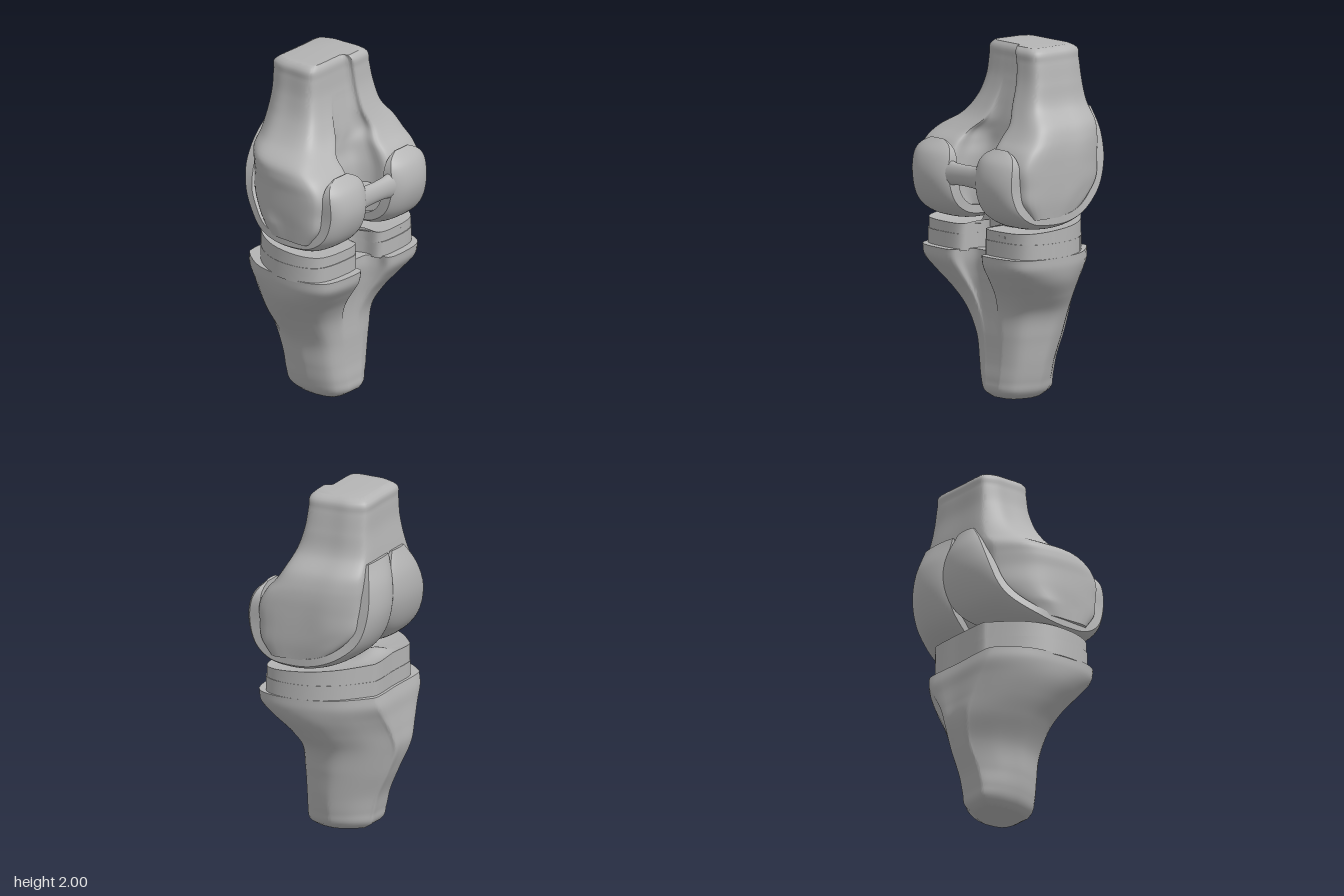
import * as THREE from 'three';
import { toCreasedNormals } from 'three/addons/utils/BufferGeometryUtils.js';

const RING = 96;

// Skin a stack of closed rings and close both ends
function loft(rings, crease = 0.7) {
  const n = rings[0].length, pos = [], idx = [];
  rings.forEach(r => r.forEach(p => pos.push(p.x, p.y, p.z)));
  for (let j = 0; j < rings.length - 1; j++) {
    for (let i = 0; i < n; i++) {
      const a = j * n + i, b = j * n + (i + 1) % n;
      idx.push(a, a + n, b, b, a + n, b + n);
    }
  }
  [0, rings.length - 1].forEach((j, end) => {
    const flat = rings[j].map(p => new THREE.Vector2(p.x, p.z));
    const ringSign = Math.sign(THREE.ShapeUtils.area(flat));
    for (const f of THREE.ShapeUtils.triangulateShape(flat, [])) {
      const s = Math.sign(THREE.ShapeUtils.area(f.map(k => flat[k])));
      const [a, b, c] = f.map(k => k + j * n);
      if ((s === ringSign) === (end === 0)) idx.push(a, b, c);
      else idx.push(a, c, b);
    }
  });
  const g = new THREE.BufferGeometry();
  g.setAttribute('position', new THREE.Float32BufferAttribute(pos, 3));
  g.setIndex(idx);
  return toCreasedNormals(g, crease);
}

// Smooth interpolation of rows [key, ...values]
function track(rows) {
  const size = rows[0].length - 1;
  const it = new THREE.CubicInterpolant(rows.map(r => r[0]), rows.flatMap(r => r.slice(1)), size);
  return t => Array.from(it.evaluate(t));
}

// Horizontal section: notched on +x, narrowing toward -x by a nose for each side,
// the +z lobe set back by skew, the +x corners rounded by r
function section(y, [x0, x1, z0, z1, n, nw, noseL, noseR, skew, r]) {
  const c = (z0 + z1) / 2, h = (z1 - z0) / 2, floor = x1 - Math.max(n, skew);
  const side = (nose, end) => {
    const w = end - x0, d = end - floor;
    return [
      [end - d * 0.96, nw * 0.6], [end - d * 0.6, nw], [end - d * 0.1, nw * 1.1],
      [end, 0.65 - 3 * r], [end - r * w, 0.95 - 1.5 * r], [end - 4 * r * w, 1], [end - 0.5 * w, 1],
      [x0 + 0.25 * w, Math.min(0.985, (1 + nose) / 2 + 0.08)], [x0 + 0.03 * w, nose], [x0, nose * 0.88],
    ];
  };
  const right = side(noseR, x1).map(([x, z]) => [x, -z]).reverse();
  const pts = [[floor, 0], ...side(noseL, x1 - skew), [x0, 0], ...right]
    .map(([x, z]) => new THREE.Vector3(x, y, c + h * z));
  return new THREE.CatmullRomCurve3(pts, true, 'centripetal').getPoints(RING).slice(0, RING);
}

function bone(rows, steps) {
  const at = track(rows), lo = rows[0][0], hi = rows[rows.length - 1][0];
  const rings = [];
  for (let i = 0; i <= steps; i++) {
    const y = lo + (hi - lo) * i / steps;
    rings.push(section(y, at(y)));
  }
  return loft(rings);
}

// Curved shell for one condyle; spans = [t, zMin, zMax, squareness of the crown]
function condyle(spans) {
  const curve = pts => new THREE.CatmullRomCurve3(pts.map(([x, y]) => new THREE.Vector3(x, y, 0)), false, 'centripetal');
  const outer = curve([[-0.345, 1.645], [-0.4, 1.5], [-0.405, 1.34], [-0.34, 1.17], [-0.22, 1.07], [-0.06, 1.01],
    [0.1, 0.995], [0.24, 1.02], [0.35, 1.1], [0.405, 1.25], [0.38, 1.38], [0.305, 1.46]]);
  const inner = curve([[-0.32, 1.64], [-0.32, 1.48], [-0.31, 1.35], [-0.28, 1.24], [-0.18, 1.14], [-0.05, 1.085],
    [0.08, 1.08], [0.19, 1.09], [0.26, 1.15], [0.285, 1.25], [0.29, 1.37], [0.292, 1.455]]);
  const span = track(spans), rings = [];
  for (let j = 0; j <= 72; j++) {
    const t = j / 72, P = outer.getPoint(t), Q = inner.getPoint(t), [z0, z1, k] = span(t), ring = [];
    for (let i = 0; i <= 24; i++) {
      const u = -Math.cos(Math.PI * i / 24);
      const p = Q.clone().lerp(P, Math.sqrt(1 - 0.68 * Math.abs(u) ** k));
      ring.push(p.setZ(z0 + (z1 - z0) * (u + 1) / 2));
    }
    for (const s of [1, 0.5, 0]) ring.push(Q.clone().setZ(z0 + (z1 - z0) * s));
    rings.push(ring);
  }
  return loft(rings);
}

// Bearing insert: straight wall, then rings shrinking inward over a shallow dish
function bearing(size) {
  const rings = [section(0.92, size)];
  for (let i = 0; i <= 12; i++) {
    const s = 1 - i / 12 * 0.97;
    rings.push(section(0, size).map(p => {
      const x = -0.12 + (p.x + 0.12) * s, z = p.z * s;
      const ridge = 0.05 * Math.exp(-((x + 0.2) ** 2) / 0.008 - z * z / 0.012);
      return new THREE.Vector3(x, 1.008 - 0.07 * x - 0.03 * (1 - s * s) + ridge, z);
    }));
  }
  return loft(rings);
}

export function createModel() {
  const group = new THREE.Group();
  const grey = new THREE.MeshStandardMaterial({ color: 0xb4b4b4 });
  grey.name = 'grey';
  const add = (name, geometry) => {
    const m = new THREE.Mesh(geometry, grey);
    m.name = name;
    group.add(m);
    return m;
  };

  // Rows: y, x0, x1, z0, z1, notch depth, notch width, left nose, right nose, skew, corner
  add('femur', bone([
    [1.07, -0.1, 0.22, -0.45, 0.465, 0.12, 0.3, 0.92, 0.95, 0, 0.02],
    [1.16, -0.21, 0.285, -0.46, 0.47, 0.18, 0.32, 0.8, 0.92, 0, 0.02],
    [1.25, -0.3, 0.297, -0.462, 0.472, 0.19, 0.32, 0.67, 0.87, 0, 0.02],
    [1.36, -0.315, 0.3, -0.462, 0.472, 0.2, 0.32, 0.64, 0.86, 0, 0.02],
    [1.44, -0.32, 0.265, -0.458, 0.47, 0.185, 0.32, 0.64, 0.86, 0.01, 0.025],
    [1.5, -0.325, 0.215, -0.447, 0.445, 0.14, 0.32, 0.66, 0.86, 0.03, 0.03],
    [1.57, -0.325, 0.17, -0.42, 0.335, 0.1, 0.32, 0.72, 0.86, 0.05, 0.03],
    [1.67, -0.315, 0.125, -0.345, 0.25, 0.07, 0.32, 0.78, 0.86, 0.055, 0.03],
    [1.8, -0.298, 0.085, -0.315, 0.2, 0.05, 0.3, 0.84, 0.85, 0.05, 0.03],
    [1.92, -0.293, 0.07, -0.295, 0.183, 0.04, 0.28, 0.86, 0.84, 0.045, 0.03],
    [1.98, -0.285, 0.065, -0.28, 0.175, 0.04, 0.25, 0.86, 0.84, 0.045, 0.03],
    [2.0, -0.25, 0.045, -0.25, 0.15, 0.04, 0.25, 0.86, 0.84, 0.04, 0.03],
  ], 72));

  add('tibia', bone([
    [0, -0.18, 0.1, -0.14, 0.095, 0, 0.25, 0.72, 0.42, 0, 0.1],
    [0.03, -0.225, 0.145, -0.185, 0.13, 0, 0.25, 0.7, 0.38, 0, 0.11],
    [0.1, -0.245, 0.155, -0.21, 0.16, 0, 0.25, 0.66, 0.34, 0, 0.11],
    [0.2, -0.27, 0.15, -0.23, 0.18, 0, 0.25, 0.58, 0.3, 0, 0.1],
    [0.35, -0.335, 0.15, -0.255, 0.21, 0, 0.25, 0.48, 0.26, 0, 0.09],
    [0.5, -0.385, 0.16, -0.29, 0.3, 0.01, 0.25, 0.45, 0.3, 0, 0.08],
    [0.6, -0.38, 0.2, -0.36, 0.37, 0.04, 0.25, 0.5, 0.36, 0, 0.07],
    [0.7, -0.37, 0.27, -0.43, 0.43, 0.09, 0.25, 0.57, 0.46, 0, 0.06],
    [0.78, -0.365, 0.325, -0.46, 0.455, 0.13, 0.25, 0.64, 0.55, 0, 0.05],
    [0.845, -0.35, 0.335, -0.465, 0.46, 0.14, 0.24, 0.67, 0.58, 0, 0.05],
  ], 64));

  // Tibial tray and bearing insert, nearly flush
  add('tibialTray', loft([0.835, 0.93].map(y => section(y, [-0.332, 0.29, -0.462, 0.462, 0.2, 0.2, 0.5, 0.52, 0, 0.05]))));
  add('bearingInsert', bearing([-0.33, 0.285, -0.46, 0.46, 0.195, 0.2, 0.5, 0.52, 0, 0.05]));

  // Lock slot on the rim
  const slot = add('traySlot', new THREE.BoxGeometry(0.008, 0.012, 0.11));
  slot.position.set(0.281, 0.96, -0.23);

  // Central post flaring into the insert
  const post = new THREE.Shape();
  post.moveTo(-0.16, 0.96);
  post.lineTo(0.16, 0.96);
  post.quadraticCurveTo(0.1, 1.01, 0.1, 1.07);
  post.lineTo(0.1, 1.21);
  post.lineTo(-0.1, 1.21);
  post.lineTo(-0.1, 1.07);
  post.quadraticCurveTo(-0.1, 1.01, -0.16, 0.96);
  const postGeo = new THREE.ExtrudeGeometry(post, { depth: 0.16, bevelEnabled: false, curveSegments: 8 });
  add('centralPost', postGeo.rotateY(Math.PI / 2).translate(-0.06, 0, 0));

  // Femoral component
  add('condyleLeft', condyle([
    [0, -0.02, 0.12, 2], [0.06, -0.08, 0.2, 2], [0.15, -0.11, 0.28, 2], [0.3, -0.04, 0.36, 2.4],
    [0.42, 0.09, 0.44, 3], [0.6, 0.115, 0.45, 3], [0.8, 0.115, 0.43, 2.4],
    [0.92, 0.13, 0.42, 2], [0.97, 0.165, 0.385, 2], [1, 0.22, 0.33, 2],
  ]));
  add('condyleRight', condyle([
    [0, -0.3, -0.06, 2], [0.06, -0.34, -0.07, 2], [0.15, -0.37, -0.08, 2], [0.3, -0.4, -0.08, 2.4],
    [0.42, -0.44, -0.11, 3], [0.6, -0.445, -0.11, 3], [0.8, -0.42, -0.11, 2.4],
    [0.92, -0.41, -0.125, 2], [0.97, -0.375, -0.16, 2], [1, -0.32, -0.21, 2],
  ]));

  // Crossbar waisted in the middle, and the web plate behind it
  const barProfile = [[0.085, -0.18], [0.072, -0.13], [0.063, -0.08], [0.06, 0], [0.063, 0.08], [0.072, 0.13], [0.085, 0.18]]
    .map(([r, y]) => new THREE.Vector2(r, y));
  add('crossbar', new THREE.LatheGeometry(barProfile, 32).rotateX(Math.PI / 2).scale(0.6, 1, 1).translate(0.325, 1.28, 0.01));
  add('webPlate', new THREE.BoxGeometry(0.28, 0.04, 0.28).translate(0.18, 1.24, 0.01));

  return group;
}
